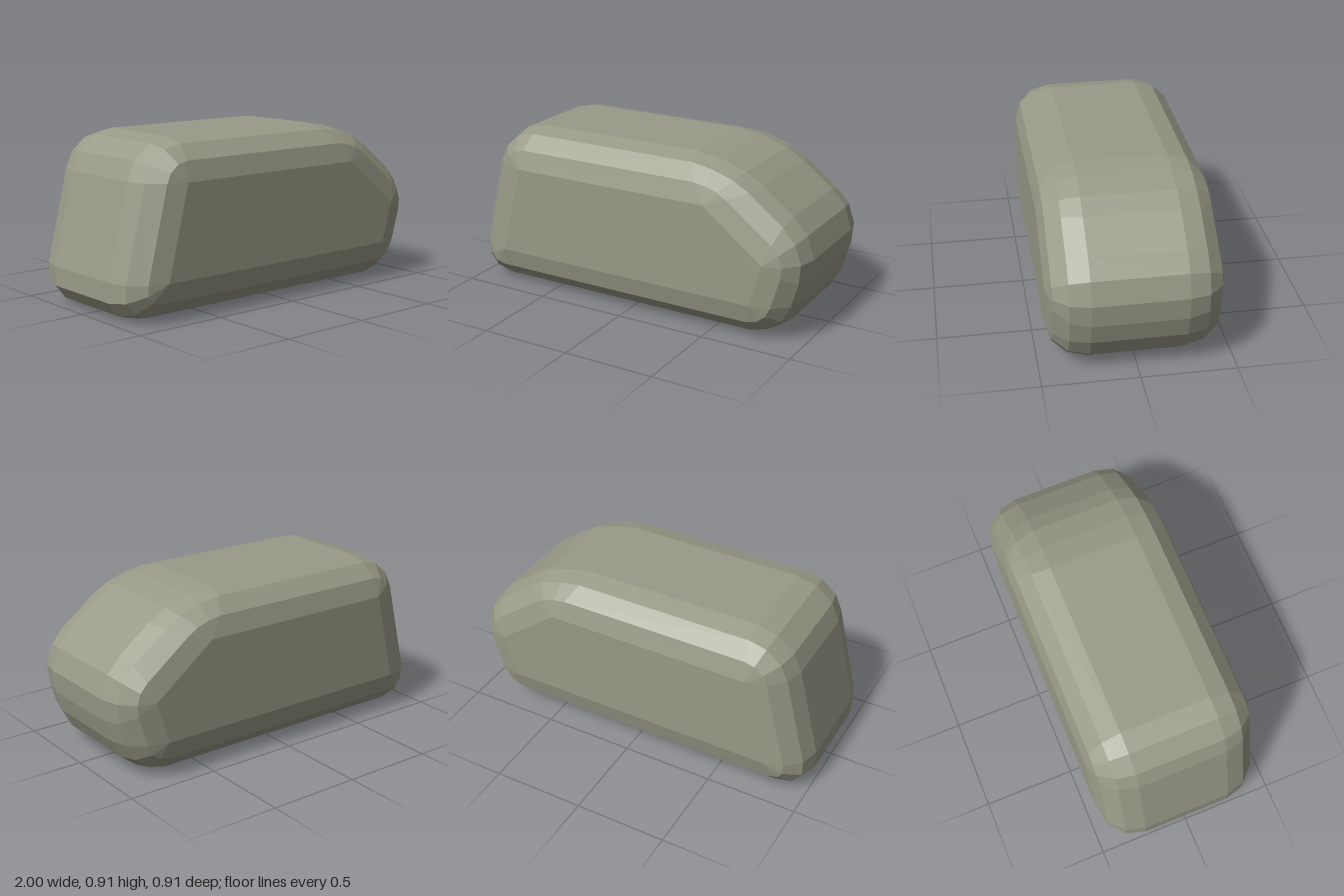
import * as THREE from 'three';

// Five rounded corners, counter-clockwise: c is the corner of the flat side face,
// arc the rounded outline that surrounds it at mid width.
const corners = [
  { c: [-0.785, 0.21], arc: [[-1, 0.21], [-1, 0.105], [-0.94, 0.03], [-0.83, 0]] },
  { c: [0.74, 0.21], arc: [[0.70, 0], [0.81, 0.03], [0.90, 0.10], [0.957, 0.205]] },
  { c: [0.81, 0.44], arc: [[0.99, 0.32], [1, 0.44], [0.96, 0.56], [0.88, 0.65]] },
  { c: [0.47, 0.70], arc: [[0.71, 0.78], [0.61, 0.84], [0.47, 0.885], [0.34, 0.907]] },
  { c: [-0.664, 0.70], arc: [[-0.63, 0.907], [-0.74, 0.88], [-0.835, 0.80], [-0.88, 0.70]] },
];

// Outline at one depth: f = 0 is the flat side face, f = 1 the full silhouette
function ring(f, z) {
  return corners.flatMap(({ c, arc }) => arc.map(([x, y]) =>
    new THREE.Vector3(c[0] + (x - c[0]) * f, c[1] + (y - c[1]) * f, z)));
}

function bodyGeometry() {
  const radius = 0.21, halfWidth = 0.455;
  const rings = [];
  for (const side of [1, -1]) {
    for (let i = 0; i < 4; i++) {
      const a = ((side > 0 ? i : 3 - i) * Math.PI) / 6;
      rings.push(ring(Math.sin(a), side * (halfWidth - radius * (1 - Math.cos(a)))));
    }
  }

  const points = [];
  const tri = (a, b, c) => {
    const area = b.clone().sub(a).cross(c.clone().sub(a)).length();
    if (area > 1e-7) points.push(a, b, c); // drop collapsed triangles
  };

  // Bevelled wall between neighbouring outlines
  const n = rings[0].length;
  for (let k = 0; k < rings.length - 1; k++) {
    for (let j = 0; j < n; j++) {
      const m = (j + 1) % n;
      const a = rings[k][j], b = rings[k][m], c = rings[k + 1][j], d = rings[k + 1][m];
      tri(a, c, b);
      tri(b, c, d);
    }
  }

  // Flat side faces
  const front = rings[0], back = rings[rings.length - 1];
  for (let j = 1; j < n - 1; j++) {
    tri(front[0], front[j], front[j + 1]);
    tri(back[0], back[j + 1], back[j]);
  }

  const geometry = new THREE.BufferGeometry().setFromPoints(points);
  geometry.computeVertexNormals();
  return geometry;
}

export function createModel() {
  const group = new THREE.Group();
  const material = new THREE.MeshStandardMaterial({ color: 0x9a9a88, flatShading: true });
  const body = new THREE.Mesh(bodyGeometry(), material);
  body.name = 'bevelledBody';
  group.add(body);
  return group;
}
